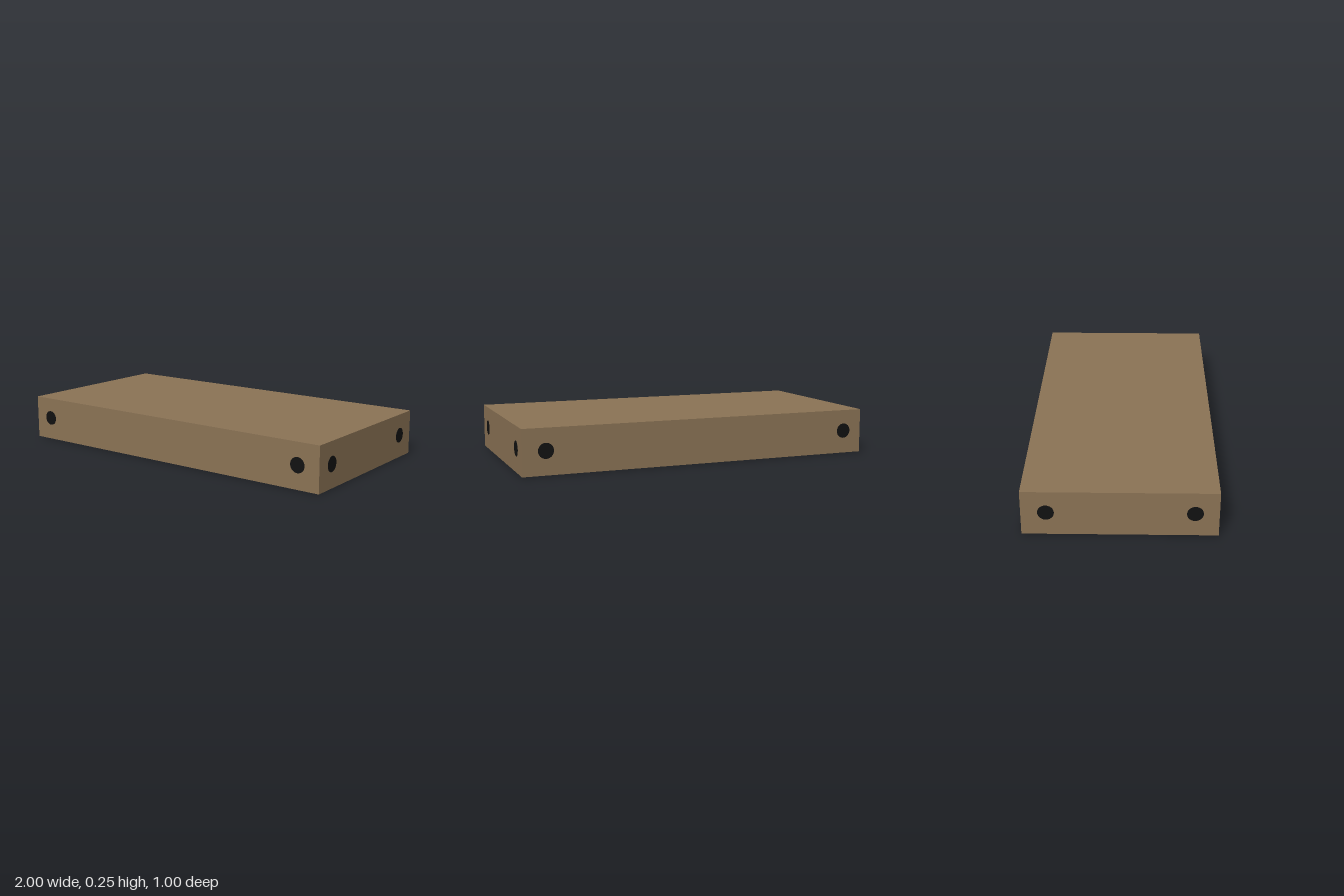
import * as THREE from 'three';

const W = 2, H = 0.25, D = 1;      // overall size
const R = 0.042;                   // hole radius
const PROUD = 0.001;               // lift of the hole discs above the wood
const DEPTH = 0.02;

export function createModel() {
  const model = new THREE.Group();
  const wood = new THREE.MeshStandardMaterial({ color: 0x8b7355 });
  const black = new THREE.MeshStandardMaterial({ color: 0x111111 });

  // Solid wooden slab
  const board = new THREE.Mesh(
    new THREE.BoxGeometry(W - 2 * PROUD, H - PROUD, D - 2 * PROUD), wood);
  board.name = 'board';
  board.position.y = (H + PROUD) / 2;
  model.add(board);

  // Dark hole: a short plug sunk into the board, facing along its normal
  const holeGeometry = new THREE.CylinderGeometry(R, R, DEPTH, 32);
  const up = new THREE.Vector3(0, 1, 0);
  function addHole(name, point, normal) {
    const hole = new THREE.Mesh(holeGeometry, black);
    const n = new THREE.Vector3(...normal);
    hole.name = name;
    hole.quaternion.setFromUnitVectors(up, n);
    hole.position.set(...point).addScaledVector(n, -DEPTH / 2);
    model.add(hole);
  }

  const y = 0.13, xs = [-0.888, 0.872], zs = [-0.372, 0.377];

  // Holes in the long edges
  for (const x of xs) {
    addHole('frontHole', [x, y, D / 2], [0, 0, 1]);
    addHole('backHole', [x, y, -D / 2], [0, 0, -1]);
  }

  // Holes in the short ends
  for (const z of zs) {
    addHole('leftHole', [W / 2, y, z], [1, 0, 0]);
    addHole('rightHole', [-W / 2, y, z], [-1, 0, 0]);
  }

  // Two rows of four holes underneath
  for (const x of [xs[0], -0.13, 0.13, xs[1]])
    for (const z of zs) addHole('bottomHole', [x, 0, z], [0, -1, 0]);

  return model;
}
